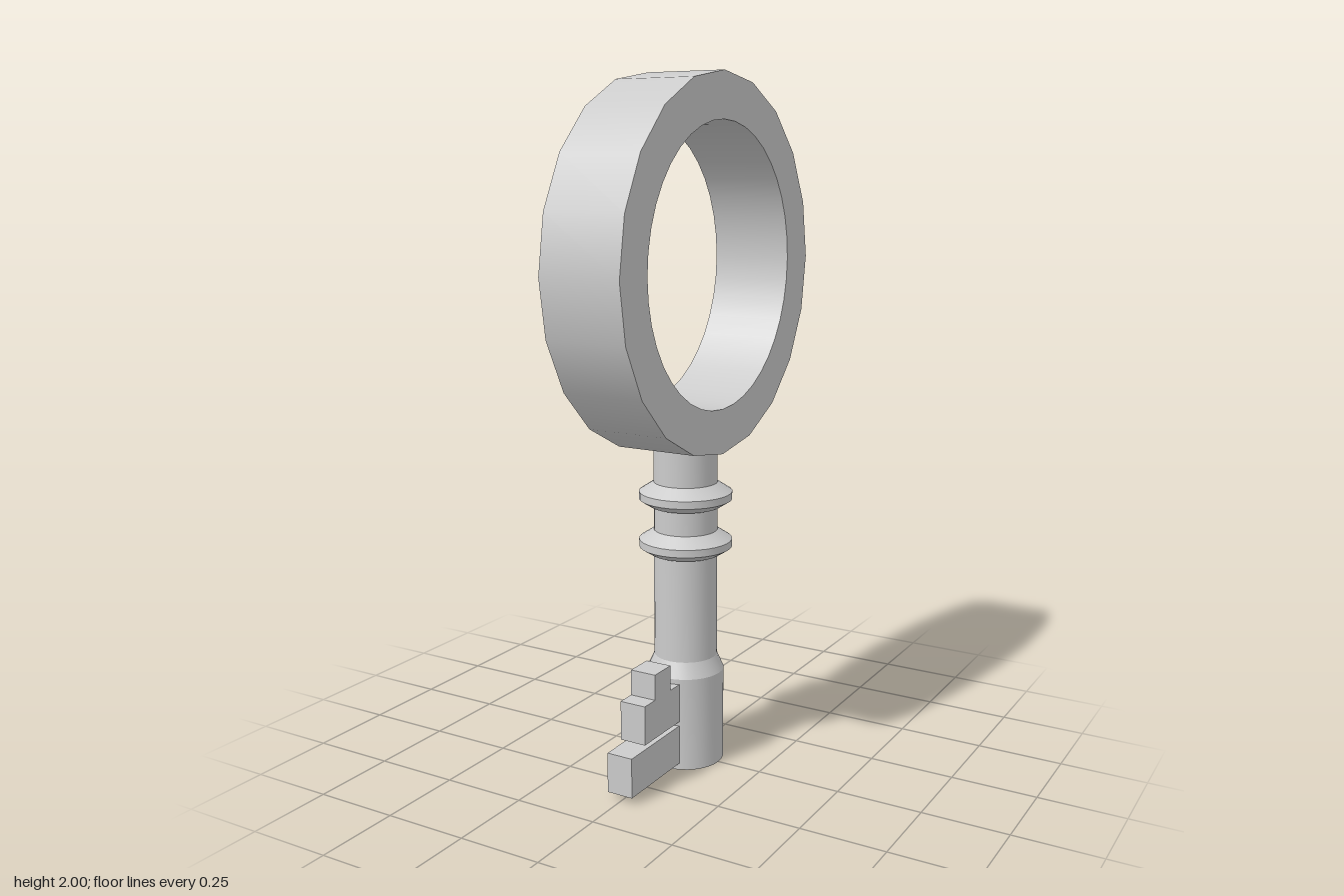
import * as THREE from 'three';
import { toCreasedNormals } from 'three/addons/utils/BufferGeometryUtils.js';

const grey = new THREE.MeshStandardMaterial({ color: 0xcccccc });
const greyInside = new THREE.MeshStandardMaterial({ color: 0xcccccc, side: THREE.BackSide });

function addMesh(parent, name, geometry, material = grey) {
  const mesh = new THREE.Mesh(geometry, material);
  mesh.name = name;
  parent.add(mesh);
  return mesh;
}

// Points of a regular polygon with its first corner on the +x axis
function ringPoints(radius, sides) {
  return Array.from({ length: sides }, (_, i) => {
    const a = (i / sides) * Math.PI * 2;
    return new THREE.Vector2(Math.cos(a) * radius, Math.sin(a) * radius);
  });
}

// Bow: a 20-sided outer band around a rounder hole, with its axis along x
function createBow() {
  const outer = 0.53, inner = 0.4, half = 0.122, outerSides = 20, innerSides = 40;
  const bow = new THREE.Group();
  bow.name = 'bow';
  const band = (radius, sides) =>
    new THREE.CylinderGeometry(radius, radius, half * 2, sides, 1, true).rotateZ(Math.PI / 2);
  addMesh(bow, 'bowOuterWall', band(outer, outerSides));
  addMesh(bow, 'bowInnerWall', band(inner, innerSides), greyInside);

  const face = new THREE.Shape(ringPoints(outer, outerSides));
  face.holes.push(new THREE.Path(ringPoints(inner, innerSides)));
  for (const side of [1, -1]) {
    const cap = new THREE.ShapeGeometry(face).translate(0, 0, half).rotateY(side * Math.PI / 2);
    addMesh(bow, side > 0 ? 'bowLeftFace' : 'bowRightFace', cap);
  }
  bow.position.y = 1.47;
  return bow;
}

// Turned part from [radius, height] pairs
function turned(profile) {
  const lathe = new THREE.LatheGeometry(profile.map(([r, y]) => new THREE.Vector2(r, y)), 32);
  return toCreasedNormals(lathe, 0.4);
}

export function createModel() {
  const key = new THREE.Group();
  key.name = 'key';
  key.add(createBow());

  // Shaft with a thicker lower end
  addMesh(key, 'shaft', turned([
    [0, 0], [0.113, 0], [0.113, 0.28], [0.093, 0.325], [0.093, 0.97], [0, 0.97],
  ]));

  // Two bevelled collars
  for (const [i, y] of [0.635, 0.777].entries()) {
    addMesh(key, `collar${i + 1}`, turned([
      [0.09, 0], [0.105, 0], [0.136, 0.02], [0.136, 0.042], [0.093, 0.07],
    ])).position.y = y;
  }

  // Stepped teeth on the front: [bottom, top, back, front]
  const teeth = [
    [0.02, 0.137, 0, 0.365],
    [0.15, 0.265, 0, 0.295],
    [0.265, 0.34, 0.155, 0.24],
  ];
  teeth.forEach(([y0, y1, z0, z1], i) => {
    const tooth = addMesh(key, `tooth${i + 1}`, new THREE.BoxGeometry(0.08, y1 - y0, z1 - z0));
    tooth.position.set(0, (y0 + y1) / 2, (z0 + z1) / 2);
  });

  return key;
}
